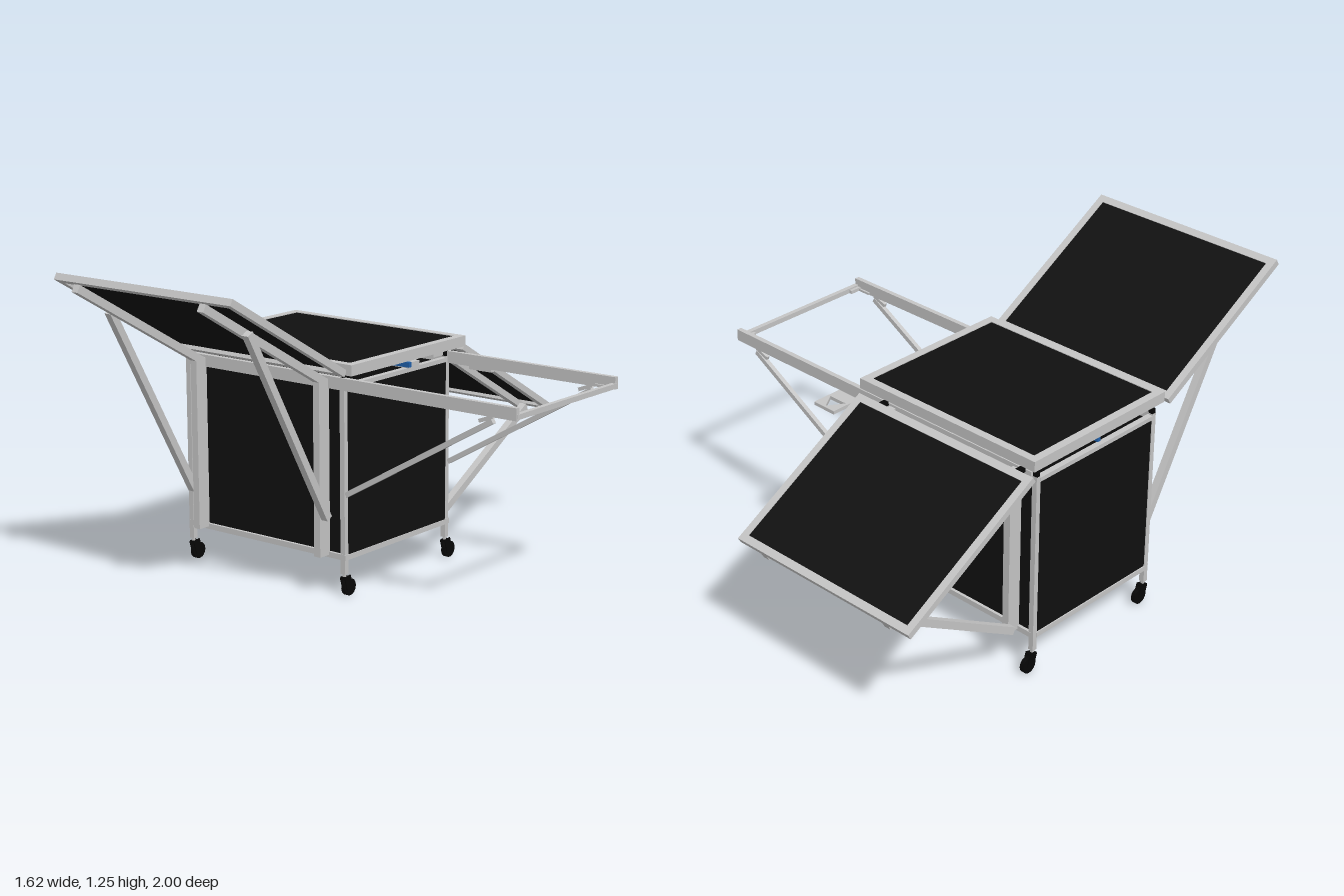
import * as THREE from 'three';

const mat = (name, color) => {
  const m = new THREE.MeshStandardMaterial({ color });
  m.name = name;
  return m;
};

export function createModel() {
  const root = new THREE.Group();
  root.name = 'foldOutCart';
  const metal = mat('aluminium', 0xc4c4c4);
  const black = mat('blackPanel', 0x101010);
  const rubber = mat('casterBlack', 0x060606);
  const blue = mat('blueRail', 0x1f5fa8);

  // Box given by its minimum and maximum corners
  const box = (name, m, [x0, y0, z0], [x1, y1, z1], parent = root) => {
    const mesh = new THREE.Mesh(new THREE.BoxGeometry(x1 - x0, y1 - y0, z1 - z0), m);
    mesh.position.set((x0 + x1) / 2, (y0 + y1) / 2, (z0 + z1) / 2);
    mesh.name = name;
    parent.add(mesh);
    return mesh;
  };

  // Square bar between two points
  const bar = (name, a, b, w, d) => {
    const p = new THREE.Vector3(...a), q = new THREE.Vector3(...b);
    const mesh = new THREE.Mesh(new THREE.BoxGeometry(w, d, p.distanceTo(q)), metal);
    mesh.position.copy(p).add(q).multiplyScalar(0.5);
    mesh.lookAt(q);
    mesh.name = name;
    root.add(mesh);
  };

  // Rectangular metal frame with a black infill; top surface at local y = 0
  const framedPanel = (name, w, l, h, border, position, tilt = 0) => {
    const g = new THREE.Group();
    g.name = name;
    const s = new THREE.Shape();
    s.moveTo(-w / 2, -l / 2).lineTo(w / 2, -l / 2).lineTo(w / 2, l / 2).lineTo(-w / 2, l / 2);
    const a = w / 2 - border, b = l / 2 - border;
    const hole = new THREE.Path();
    hole.moveTo(-a, -b).lineTo(-a, b).lineTo(a, b).lineTo(a, -b);
    s.holes.push(hole);
    const geo = new THREE.ExtrudeGeometry(s, { depth: h, bevelEnabled: false });
    geo.rotateX(-Math.PI / 2).translate(0, -h, 0);
    const frame = new THREE.Mesh(geo, metal);
    frame.name = 'panelFrame';
    g.add(frame);
    box('panelInfill', black, [-a, -0.012, -b], [a, -0.003, b], g);
    g.position.set(...position);
    g.rotation.x = tilt;
    root.add(g);
    return g;
  };

  // Cabinet walls, floor and edge rails
  for (const s of [-1, 1]) {
    box('longWall', black, [-0.755, 0.16, s * 0.31 - 0.005], [0.01, 0.805, s * 0.31 + 0.005]);
    const x = s < 0 ? -0.768 : 0.022;
    box('endWall', black, [x - 0.004, 0.162, -0.315], [x + 0.004, 0.812, 0.308]);
    box('longBottomRail', metal, [-0.775, 0.145, s * 0.315 - 0.012], [0.03, 0.167, s * 0.315 + 0.012]);
    const e = s < 0 ? -0.765 : 0.018;
    box('endBottomRail', metal, [e - 0.012, 0.145, -0.31], [e + 0.012, 0.165, 0.31]);
    box('endTopRail', metal, [e - 0.012, 0.808, -0.31], [e + 0.012, 0.825, 0.31]);
  }
  box('floorPanel', metal, [-0.76, 0.152, -0.31], [0.015, 0.16, 0.31]);
  box('floorBeam', metal, [-0.39, 0.143, -0.31], [-0.36, 0.155, 0.31]);
  bar('floorBrace', [-0.75, 0.148, 0.29], [-0.39, 0.148, -0.29], 0.02, 0.01);
  bar('floorBrace', [0.0, 0.148, 0.29], [-0.36, 0.148, -0.29], 0.02, 0.01);

  // Corner posts with swivel casters
  for (const x of [-0.764, 0.016]) for (const s of [-1, 1]) {
    const z = s * 0.316;
    box('cornerPost', metal, [x - 0.011, 0.09, z - 0.01], [x + 0.011, 0.83, z + 0.01]);
    box('postCap', rubber, [x - 0.01, 0.83, z - 0.008], [x + 0.01, 0.85, z + 0.008]);
    const wheel = new THREE.Mesh(new THREE.CylinderGeometry(0.033, 0.033, 0.018, 24), rubber);
    wheel.rotation.z = Math.PI / 2;
    wheel.position.set(x, 0.033, z - 0.024);
    wheel.name = 'casterWheel';
    root.add(wheel);
    for (const t of [-1, 1]) {
      const fork = box('casterFork', rubber, [x + t * 0.011 - 0.002, 0.025, z - 0.03], [x + t * 0.011 + 0.002, 0.08, z + 0.005]);
      fork.rotation.x = 0.3;
    }
    box('casterCrown', rubber, [x - 0.012, 0.07, z - 0.02], [x + 0.012, 0.078, z + 0.01]);
    box('casterStem', metal, [x - 0.005, 0.075, z - 0.006], [x + 0.005, 0.1, z + 0.006]);
  }

  // Fixed top deck with the blue drive rail beneath
  framedPanel('topDeck', 0.875, 0.71, 0.042, 0.033, [-0.352, 0.913, 0]);
  box('driveRail', blue, [-0.78, 0.845, -0.008], [0.085, 0.865, 0.008]);
  box('driveHousing', metal, [-0.02, 0.833, -0.09], [0.06, 0.855, -0.025]);
  box('deckLatch', metal, [0.0, 0.85, -0.24], [0.06, 0.87, -0.18]);

  // Raised front flap and lowered back flap, both pitched alike
  const tilt = -Math.PI / 6;
  const flaps = [
    framedPanel('frontFlap', 0.87, 0.711, 0.027, 0.03, [-0.375, 1.246 - 0.178, 0.658], tilt),
    framedPanel('backFlap', 0.87, 0.711, 0.025, 0.03, [-0.375, 0.694, -0.692], tilt),
  ];
  for (const x of [-0.685, -0.065]) {
    const lx = x + 0.375;
    box('flapArm', metal, [lx - 0.015, -0.064, -0.4], [lx + 0.015, -0.033, 0.355], flaps[0]);
    box('flapArm', metal, [lx - 0.015, -0.05, -0.355], [lx + 0.015, -0.025, 0.36], flaps[1]);
    for (const s of [-1, 1])
      box('flapPost', metal, [x - 0.015, 0.155, s * 0.35 - 0.029], [x + 0.015, 0.84, s * 0.35 + 0.029]);
    // Struts sit beside the posts, towards the outer ends or the middle
    const sx = x < -0.3 ? -0.717 : -0.033;
    bar('frontStrut', [sx, 0.31, 0.36], [sx, 1.085, 0.79], 0.03, 0.03);
    bar('backStrut', [sx, 0.185, -0.38], [sx, 0.505, -0.935], 0.03, 0.03);
    box('flapHinge', rubber, [sx - 0.012, 0.84, -0.38], [sx + 0.012, 0.855, -0.335]);
  }

  // Pull-out side frame: rails, end bar, corner gussets and struts
  for (const s of [-1, 1]) {
    const z = s * 0.32 - 0.004;
    box('sideRail', metal, [-0.755, 0.803, z - 0.01], [0.805, 0.85, z + 0.01]);
    box('cornerGusset', metal, [0.72, 0.806, z - s * 0.01 - 0.008], [0.79, 0.815, z - s * 0.01 + 0.008]);
    box('endGusset', metal, [0.775, 0.806, z - s * 0.035 - 0.025], [0.79, 0.82, z - s * 0.035 + 0.025]);
    bar('sideStrut', [0.03, 0.402, z], [0.7, 0.788, z], 0.018, 0.02);
    bar('strutFoot', [0.64, 0.78, z], [0.7, 0.803, z], 0.014, 0.014);
  }
  box('endBar', metal, [0.788, 0.806, -0.33], [0.807, 0.826, 0.32]);

  // Small bracket plate with a triangular opening
  const plate = new THREE.Shape();
  plate.moveTo(0.12, 0.33).lineTo(0.226, 0.33).lineTo(0.226, 0.46).lineTo(0.12, 0.46);
  const tri = new THREE.Path();
  tri.moveTo(0.132, 0.388).lineTo(0.173, 0.452).lineTo(0.214, 0.388);
  plate.holes.push(tri);
  const plateGeo = new THREE.ExtrudeGeometry(plate, { depth: 0.014, bevelEnabled: false });
  plateGeo.rotateX(-Math.PI / 2);
  const bracket = new THREE.Mesh(plateGeo, metal);
  bracket.position.y = 0.787;
  bracket.name = 'bracketPlate';
  root.add(bracket);

  return root;
}
